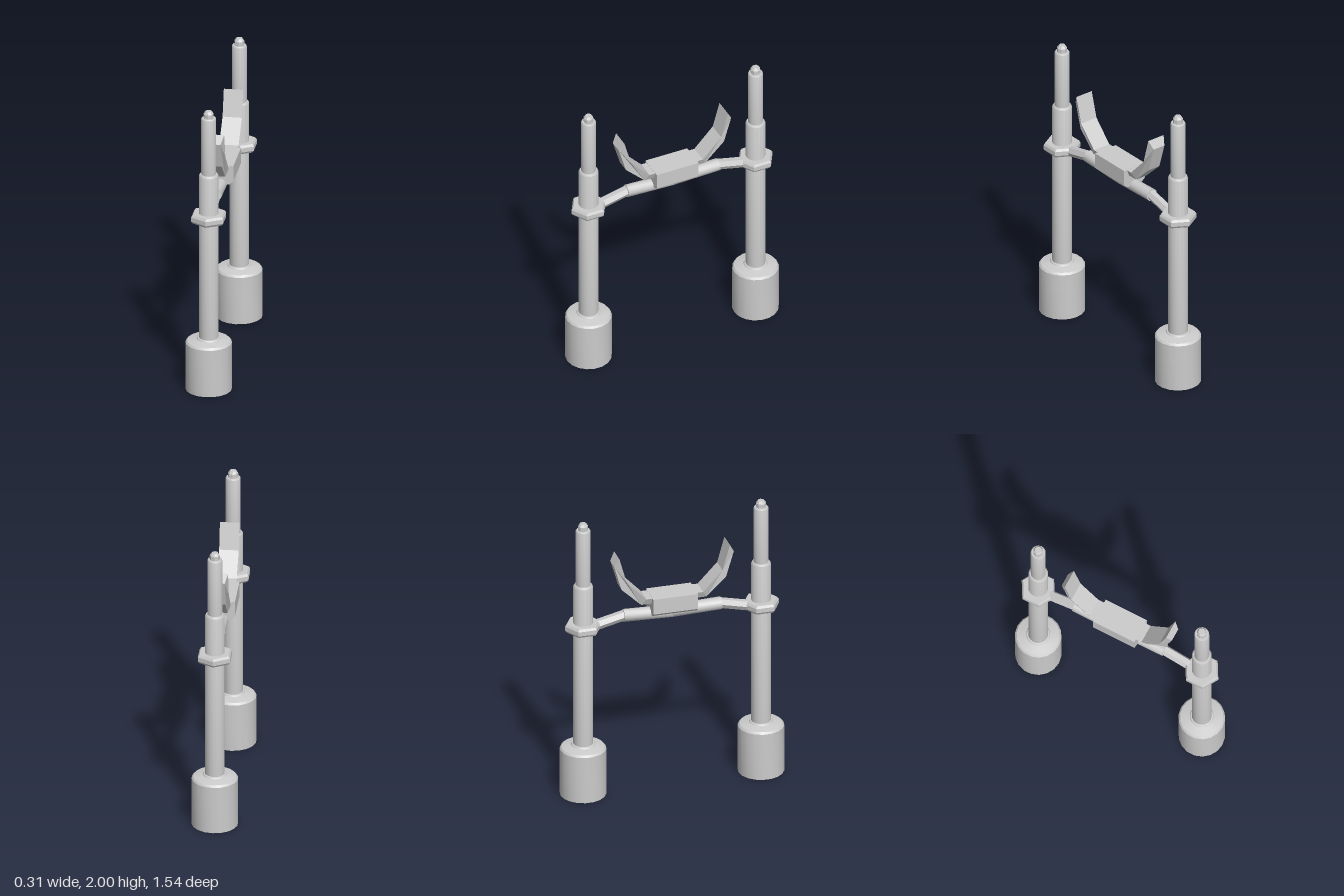
import * as THREE from 'three';
import { toCreasedNormals } from 'three/addons/utils/BufferGeometryUtils.js';

const smooth = new THREE.MeshStandardMaterial({ color: 0xcccccc });
const flat = new THREE.MeshStandardMaterial({ color: 0xcccccc, flatShading: true });

function add(parent, name, geometry, material = flat) {
  const mesh = new THREE.Mesh(geometry, material);
  mesh.name = name;
  parent.add(mesh);
  return mesh;
}

// Turned part from [radius, height] pairs, listed bottom to top
function turned(profile, sides, crease = 0.55) {
  const points = profile.map(([r, y]) => new THREE.Vector2(r, y));
  return toCreasedNormals(new THREE.LatheGeometry(points, sides), crease);
}

// Straight prism between two [y, z] points
function beam([y0, z0], [y1, z1], r0, r1, sides) {
  const a = new THREE.Vector3(0, y0, z0), b = new THREE.Vector3(0, y1, z1);
  const dir = b.clone().sub(a);
  const g = new THREE.CylinderGeometry(r1, r0, dir.length(), sides);
  // the sharp corners of the prism point sideways
  g.rotateY(Math.PI / 2);
  g.applyQuaternion(new THREE.Quaternion().setFromUnitVectors(new THREE.Vector3(0, 1, 0), dir.normalize()));
  const m = a.add(b).multiplyScalar(0.5);
  return g.translate(m.x, m.y, m.z);
}

function extrude(points, depth) {
  const shape = new THREE.Shape(points.map(([x, y]) => new THREE.Vector2(x, y)));
  return new THREE.ExtrudeGeometry(shape, { depth, bevelEnabled: false }).translate(0, 0, -depth / 2);
}

function buildPost() {
  const post = new THREE.Group();
  add(post, 'base', turned([[0, 0], [0.155, 0], [0.155, 0.335], [0.144, 0.349],
    [0.08, 0.362], [0.075, 0.37], [0.06, 0.373]], 18), smooth);
  add(post, 'lowerShaft', turned([[0.066, 0.355], [0.066, 1.535], [0.058, 1.548], [0.04, 1.548]], 16), smooth);
  add(post, 'upperShaft', turned([[0.05, 1.54], [0.05, 1.945], [0.045, 1.953], [0, 1.953]], 16), smooth);
  add(post, 'tip', turned([[0.034, 1.945], [0.034, 1.982], [0.022, 2], [0, 2]], 8));
  add(post, 'collar', turned([[0.06, 1.205], [0.113, 1.205], [0.124, 1.22], [0.124, 1.25],
    [0.113, 1.266], [0.06, 1.266]], 6));
  return post;
}

// Bent fork: the outer edge of the strip is narrower than the inner edge
function forkGeometry() {
  const inner = [[0.1, 1.408], [0.195, 1.408], [0.33, 1.55], [0.38, 1.73]];
  const outer = [[0.413, 1.672], [0.36, 1.492], [0.225, 1.362], [0.1, 1.362]];
  const g = extrude([...inner, ...outer], 0.13);
  const p = g.attributes.position;
  for (let i = 0; i < p.count; i++) {
    const isOuter = outer.some(([z, y]) => Math.hypot(p.getX(i) - z, p.getY(i) - y) < 0.001);
    if (isOuter) p.setZ(i, p.getZ(i) * 0.7);
  }
  g.rotateY(-Math.PI / 2);
  g.computeVertexNormals();
  return g;
}

export function createModel() {
  const model = new THREE.Group();
  model.name = 'twinPostCradle';

  // Two posts, each with its half of the cross bar and cradle
  for (const [side, turn] of [['front', 0], ['back', Math.PI]]) {
    const half = new THREE.Group();
    half.name = side + 'Half';
    const post = buildPost();
    post.name = side + 'Post';
    post.position.z = 0.613;
    half.add(post);
    add(half, 'linkArm', beam([1.228, 0.55], [1.282, 0.32], 0.036, 0.036, 6));
    add(half, 'crossBar', toCreasedNormals(beam([1.267, 0], [1.278, 0.337], 0.043, 0.043, 12), 0.6), smooth);
    add(half, 'cradleFork', forkGeometry());
    half.rotation.y = turn;
    model.add(half);
  }

  // Block in the middle of the cradle, with chamfered lower edges
  add(model, 'cradleBlock', extrude([[-0.06, 1.277], [0.06, 1.277], [0.088, 1.3],
    [0.088, 1.41], [-0.088, 1.41], [-0.088, 1.3]], 0.308));
  return model;
}
